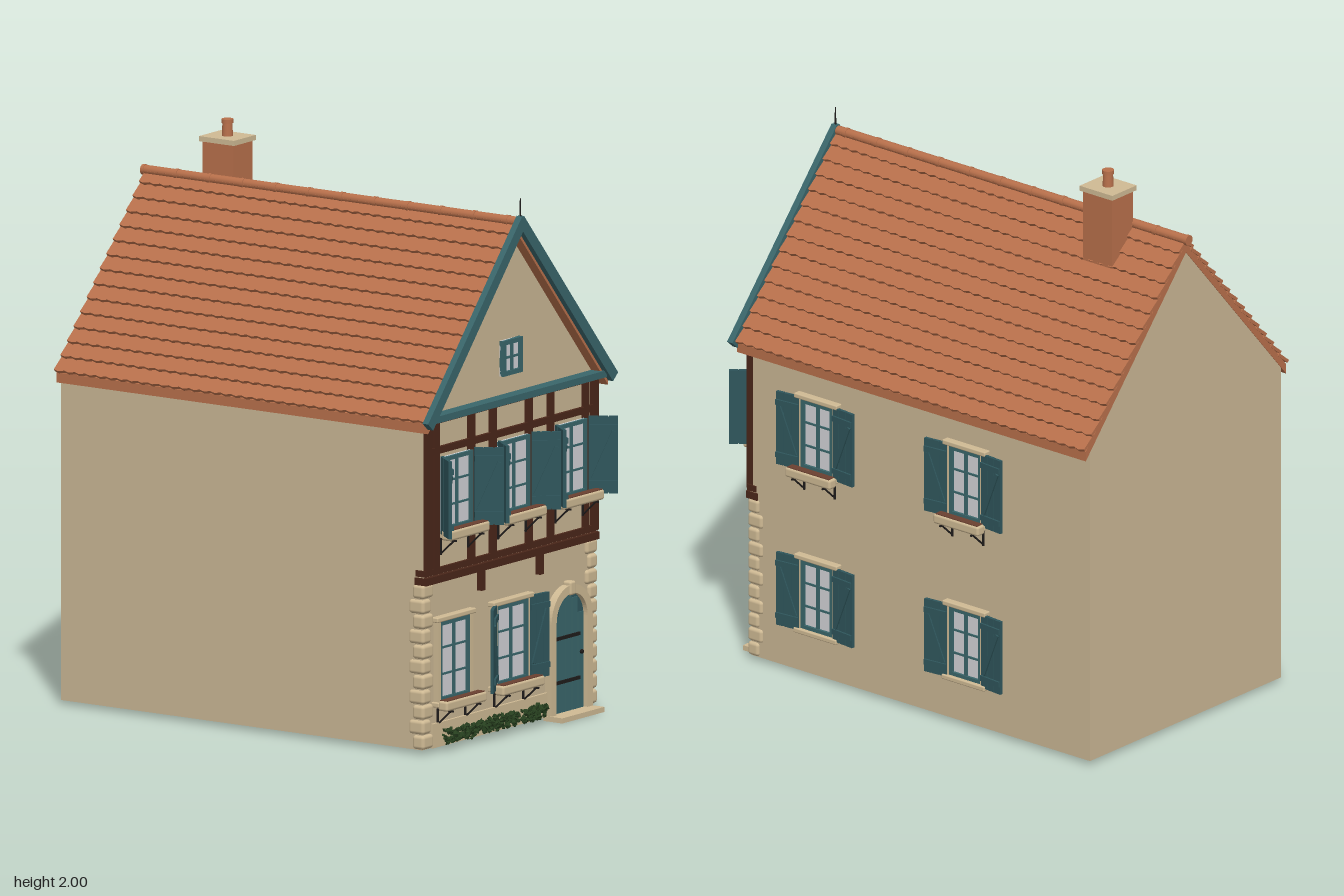
import * as THREE from 'three';
import { mergeGeometries } from 'three/addons/utils/BufferGeometryUtils.js';
import { RoundedBoxGeometry } from 'three/addons/geometries/RoundedBoxGeometry.js';

const mat = (name, color) => Object.assign(new THREE.MeshStandardMaterial({ color }), { name });
const plaster = mat('plaster', 0xcab694);
const stone = mat('stone', 0xcfba94);
const tile = mat('roofTile', 0xb8704b);
const timber = mat('timber', 0x4a2619);
const teal = mat('tealPaint', 0x3a666b);
const tealDark = mat('shutterPaint', 0x2f565c);
const glass = mat('glass', 0xd2d2d6);
const iron = mat('iron', 0x1f1c1b);
const soil = mat('soil', 0x6b4030);
const leaf = mat('leaf', 0x27401f);

function add(parent, name, geo, material, x = 0, y = 0, z = 0, rz = 0) {
  const m = new THREE.Mesh(geo, material);
  m.name = name;
  m.position.set(x, y, z);
  m.rotation.z = rz;
  parent.add(m);
  return m;
}
const box = (p, name, m, w, h, d, x, y, z, rz = 0) =>
  add(p, name, new THREE.BoxGeometry(w, h, d), m, x, y, z, rz);
const round = (p, name, m, w, h, d, x, y, z) =>
  add(p, name, new RoundedBoxGeometry(w, h, d, 2, Math.min(w, h, d) * 0.25), m, x, y, z);

function group(parent, name, x = 0, y = 0, z = 0, ry = 0) {
  const g = new THREE.Group();
  g.name = name;
  g.position.set(x, y, z);
  g.rotation.y = ry;
  parent.add(g);
  return g;
}
const poly = (pts) => new THREE.Shape(pts.map(([x, y]) => new THREE.Vector2(x, y)));
const extrude = (shape, depth, curveSegments = 16) =>
  new THREE.ExtrudeGeometry(shape, { depth, bevelEnabled: false, curveSegments });

// Plank shutter hinged at x = 0, opening towards side s and swung out by an angle
function shutter(parent, s, x, y, z, w, h, swing) {
  const g = group(parent, 'shutter', x, y, z, -s * swing);
  for (let i = 0; i < 3; i++)
    box(g, 'shutterPlank', tealDark, w / 3 - 0.003, h, 0.012, s * w * (i + 0.5) / 3, 0, 0);
  box(g, 'shutterCore', tealDark, w - 0.004, h - 0.006, 0.007, s * w / 2, 0, 0);
  for (const k of [-1, 1]) box(g, 'shutterRail', tealDark, w - 0.006, 0.02, 0.008, s * w / 2, k * h * 0.36, 0.009);
  const dy = h * 0.62, dx = w * 0.7;
  box(g, 'shutterBrace', tealDark, 0.015, Math.hypot(dx, dy), 0.008, s * w / 2, 0, 0.008, -s * Math.atan2(dx, dy));
}

// Glazed window with a grid of bars, facing +z
function glazing(parent, w, h, cols, rows, bar) {
  box(parent, 'pane', glass, w, h, 0.008, 0, 0, 0.004);
  for (const s of [-1, 1]) {
    box(parent, 'frameSide', teal, bar, h, 0.018, s * (w - bar) / 2, 0, 0.009);
    box(parent, 'frameRail', teal, w, bar, 0.018, 0, s * (h - bar) / 2, 0.009);
  }
  for (let i = 1; i < cols; i++) box(parent, 'mullion', teal, bar * 0.8, h, 0.014, w * (i / cols - 0.5), 0, 0.008);
  for (let j = 1; j < rows; j++) box(parent, 'glazingBar', teal, w, bar * 0.5, 0.012, 0, h * (j / rows - 0.5), 0.007);
}

// Flower trough with soil on iron brackets
function planter(parent, w, y, z) {
  const g = group(parent, 'planter', 0, y, z);
  round(g, 'trough', stone, w, 0.036, 0.04, 0, 0, 0.05);
  box(g, 'troughSoil', soil, w - 0.016, 0.004, 0.03, 0, 0.018, 0.05);
  for (const s of [-1, 1]) {
    box(g, 'bracketArm', iron, 0.006, 0.006, 0.07, s * w * 0.34, -0.021, 0.035);
    box(g, 'bracketPost', iron, 0.006, 0.06, 0.006, s * w * 0.34, -0.048, 0.003);
    const strut = box(g, 'bracketStrut', iron, 0.005, 0.08, 0.005, s * w * 0.34, -0.048, 0.03);
    strut.rotation.x = 0.83;
  }
}

function windowUnit(parent, x, y, z, ry, o) {
  const g = group(parent, 'window', x, y, z, ry);
  glazing(g, o.w, o.h, 2, 3, 0.014);
  if (o.surround) {
    for (const s of [-1, 1]) box(g, 'jamb', stone, 0.014, o.h + 0.02, 0.022, s * (o.w / 2 + 0.007), 0, 0.011);
    round(g, 'lintel', stone, o.w + 0.05, 0.018, 0.03, 0, o.h / 2 + 0.01, 0.012);
    round(g, 'sill', stone, o.w + 0.05, 0.018, 0.034, 0, -o.h / 2 - 0.008, 0.014);
  }
  if (o.planter) planter(g, o.w + 0.06, -o.h / 2 - 0.008, 0);
  (o.swing || []).forEach((a, i) => {
    const s = i ? 1 : -1;
    shutter(g, s, s * (o.w / 2 + 0.004), 0, 0.017, o.sw, o.h + 0.015, a);
  });
}

// Arched outline standing on y = 0
function arch(r, spring) {
  const s = new THREE.Shape();
  s.moveTo(-r, 0);
  s.lineTo(r, 0);
  s.lineTo(r, spring);
  s.absarc(0, spring, r, 0, Math.PI, false);
  s.lineTo(-r, 0);
  return s;
}

function buildRoof(house) {
  const roof = group(house, 'roof');
  const deck = poly([[0, 1.785], [-0.535, 1.171], [-0.535, 1.136], [0, 1.75], [0.535, 1.136], [0.535, 1.171]]);
  add(roof, 'roofDeck', extrude(deck, 1.575), tile, 0, 0, -0.812);
  // Overlapping courses with scalloped lower edges
  const len = 1.588, n = 14, tiles = 36, slope = 0.829, step = slope / n;
  const pts = [[-len / 2, -0.008], [len / 2, -0.008]].reverse();
  for (let i = 0; i <= tiles * 2; i++)
    pts.push([-len / 2 + len * i / (tiles * 2), step + (i % 2 ? 0.004 : -0.002)]);
  const course = extrude(poly(pts), 0.011).rotateX(0.19);
  for (const s of [-1, 1]) {
    const X = new THREE.Vector3(0, 0, s);
    const Y = new THREE.Vector3(s * 0.545, -0.625, 0).normalize();
    const N = X.clone().cross(Y);
    const rows = [];
    for (let i = 0; i < n; i++) {
      const p = new THREE.Vector3(0, 1.8, -0.02).addScaledVector(Y, i * step).addScaledVector(N, -0.014);
      rows.push(course.clone().applyMatrix4(new THREE.Matrix4().makeBasis(X, Y, N).setPosition(p)));
    }
    add(roof, 'tileCourses', mergeGeometries(rows), tile);
    // Painted barge board along the front verge
    box(roof, 'bargeBoard', teal, 0.85, 0.04, 0.024, s * 0.27, 1.485, 0.772, s * Math.atan2(-0.625, 0.545));
  }
  const ridge = new THREE.CylinderGeometry(0.017, 0.017, 1.59, 12).rotateX(Math.PI / 2);
  add(roof, 'ridge', ridge, tile, 0, 1.797, -0.03);
  for (let i = 0; i < 12; i++)
    add(roof, 'ridgeCollar', new THREE.CylinderGeometry(0.019, 0.019, 0.012, 12).rotateX(Math.PI / 2), tile, 0, 1.797, -0.82 + i * 0.14);
  add(roof, 'finial', new THREE.CylinderGeometry(0.002, 0.004, 0.08, 6), iron, 0, 1.84, 0.772);

  const ch = group(house, 'chimney', 0.065, 0, -0.515);
  box(ch, 'chimneyStack', tile, 0.112, 0.26, 0.132, 0, 1.795, 0);
  box(ch, 'chimneyCap', stone, 0.13, 0.018, 0.148, 0, 1.932, 0);
  add(ch, 'chimneyPot', new THREE.CylinderGeometry(0.017, 0.02, 0.06, 14), tile, 0, 1.965, 0);
  add(ch, 'potRim', new THREE.CylinderGeometry(0.021, 0.021, 0.014, 14), tile, 0, 1.993, 0);
}

export function createModel() {
  const model = new THREE.Group();
  model.name = 'townHouse';
  const house = group(model, 'house', -0.02);

  // Walls: hollow ground floor, upper storey with gables
  const walls = group(house, 'walls');
  for (const s of [-1, 1]) box(walls, 'sideWall', plaster, 0.04, 0.585, 1.53, s * 0.49, 0.3075, -0.045);
  box(walls, 'backWall', plaster, 0.94, 0.585, 0.04, 0, 0.3075, -0.79);
  box(walls, 'frontWall', plaster, 0.94, 0.585, 0.04, 0, 0.3075, 0.7);
  box(walls, 'groundFloor', plaster, 0.94, 0.02, 0.3, 0, 0.03, 0.54);
  const upper = poly([[-0.51, 0.6], [0.51, 0.6], [0.51, 1.166], [0, 1.752], [-0.51, 1.166]]);
  add(walls, 'upperStorey', extrude(upper, 1.535), plaster, 0, 0, -0.81);
  box(walls, 'plinth', stone, 0.7, 0.085, 0.012, -0.11, 0.0575, 0.724);

  // Rounded corner stones at the front corners
  for (const s of [-1, 1]) for (let i = 0; i < 11; i++) {
    const w = i % 2 ? 0.052 : 0.066, d = i % 2 ? 0.066 : 0.05;
    round(walls, 'quoin', stone, w, 0.05, d, s * (0.52 - w / 2), 0.042 + i * 0.053, 0.732 - d / 2);
  }

  // Timber framing of the upper front
  const frame = group(house, 'timberFrame');
  box(frame, 'lowerSillBeam', timber, 1.03, 0.026, 0.05, 0, 0.608, 0.716);
  box(frame, 'upperSillBeam', timber, 1.03, 0.022, 0.04, 0, 0.636, 0.716);
  box(frame, 'midRail', timber, 1.0, 0.024, 0.02, 0, 1.06, 0.728);
  box(frame, 'topRail', timber, 1.02, 0.02, 0.02, 0, 1.165, 0.728);
  for (const s of [-1, 1]) {
    for (const x of [0.495, 0.445, 0.235, 0.107])
      box(frame, 'post', timber, 0.03, 0.54, x > 0.48 ? 0.03 : 0.022, s * x, 0.9, 0.727);
    box(frame, 'corbel', timber, 0.022, 0.075, 0.022, s * 0.173, 0.563, 0.73);
  }
  box(frame, 'gableBeam', teal, 1.03, 0.024, 0.05, 0, 1.18, 0.748);

  // Front windows
  for (const x of [-0.34, 0, 0.34])
    windowUnit(house, x, 0.905, 0.733, 0, { w: 0.18, h: 0.258, planter: true, sw: 0.105, swing: [0.9, 0.9] });
  windowUnit(house, -0.34, 0.315, 0.72, 0, { w: 0.18, h: 0.28, surround: true, planter: true });
  windowUnit(house, 0, 0.315, 0.72, 0, { w: 0.19, h: 0.28, surround: true, planter: true, sw: 0.1, swing: [0.5, 0.12] });
  const attic = group(house, 'atticWindow', 0, 1.32, 0.724);
  glazing(attic, 0.115, 0.125, 2, 2, 0.016);

  // Side windows
  for (const z of [0.41, -0.26]) {
    windowUnit(house, 0.51, 0.905, z, Math.PI / 2, { w: 0.144, h: 0.255, surround: true, planter: true, sw: 0.098, swing: [0.1, 0.1] });
    windowUnit(house, 0.51, 0.308, z, Math.PI / 2, { w: 0.144, h: 0.255, surround: true, sw: 0.098, swing: [0.1, 0.1] });
  }

  // Arched door with stone surround and step
  const door = group(house, 'door', 0.342, 0.016, 0.72);
  const ring = arch(0.122, 0.325);
  ring.holes.push(arch(0.092, 0.325));
  add(door, 'doorSurround', extrude(ring, 0.028), stone);
  add(door, 'doorLeaf', extrude(arch(0.092, 0.325), 0.01), tealDark);
  for (let i = -2; i <= 2; i++) {
    const top = 0.325 + Math.sqrt(0.0076 - (Math.abs(i * 0.036) + 0.014) ** 2 || 0);
    box(door, 'doorPlank', teal, 0.032, top, 0.006, i * 0.036, top / 2, 0.011);
  }
  for (const y of [0.11, 0.265]) box(door, 'strapHinge', iron, 0.15, 0.012, 0.006, -0.012, y, 0.016);
  add(door, 'handle', new THREE.SphereGeometry(0.008, 8, 6), iron, 0.07, 0.2, 0.019);
  round(door, 'keystone', stone, 0.034, 0.05, 0.036, 0, 0.435, 0.016);
  box(door, 'doorstep', stone, 0.25, 0.018, 0.08, 0, -0.007, 0.035);

  // Low hedge of small leaves
  let seed = 7;
  const rnd = () => (seed = (seed * 16807) % 2147483647) / 2147483647;
  const leaves = [];
  for (let i = 0; i < 320; i++) {
    const g = new THREE.OctahedronGeometry(0.008 + rnd() * 0.006).scale(1, 0.6, 1);
    g.rotateX(rnd() * 3).rotateZ(rnd() * 3);
    leaves.push(g.translate(-0.415 + rnd() * 0.6, 0.028 + rnd() * 0.045, 0.735 + rnd() * 0.03));
  }
  add(house, 'hedge', mergeGeometries(leaves), leaf);

  buildRoof(house);
  return model;
}
